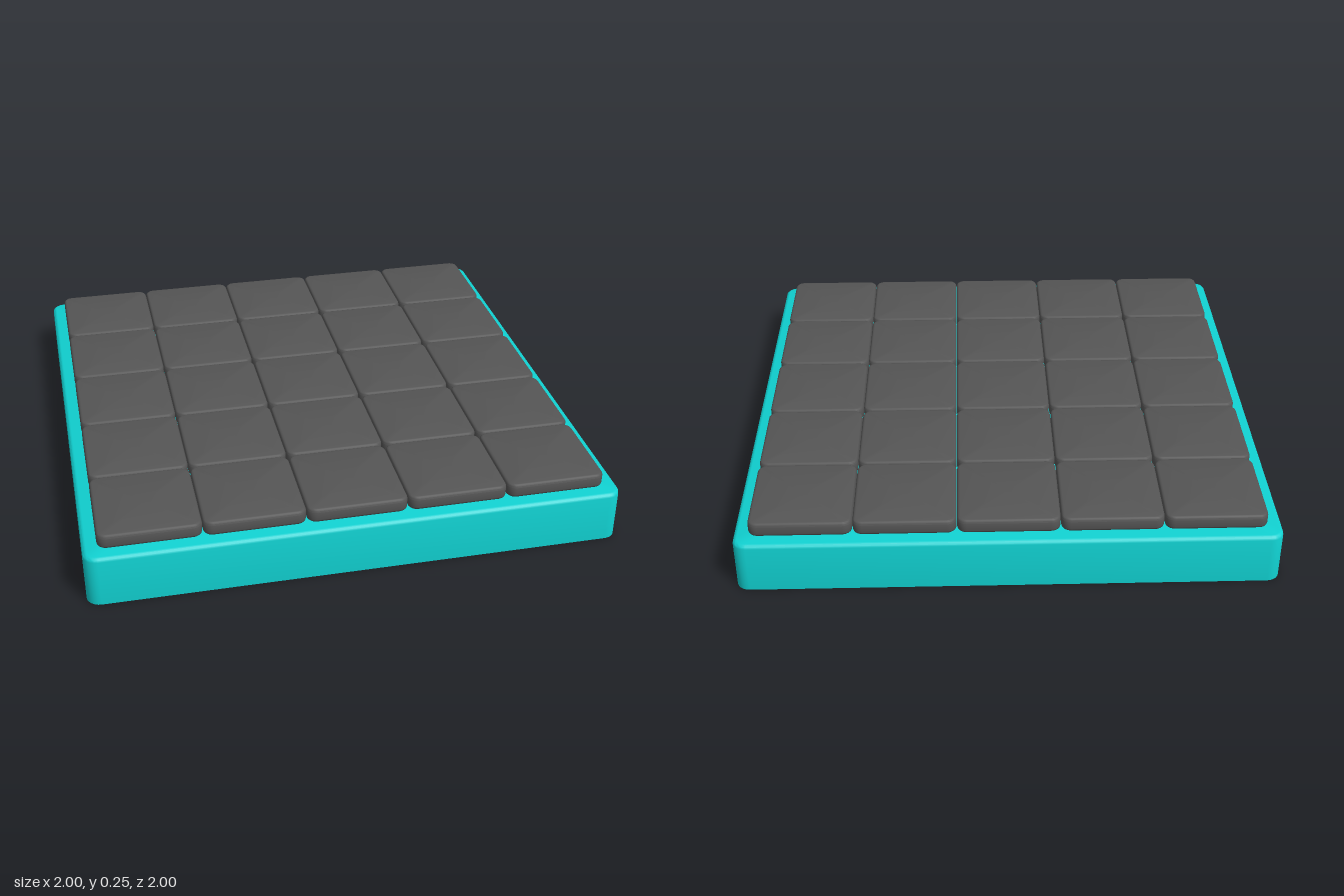
import * as THREE from 'three';
import { toCreasedNormals } from 'three/addons/utils/BufferGeometryUtils.js';

const STEPS = 6; // segments per rounded corner

// Rounded-square slab: one ring per profile point [inset, y], closed by flat caps.
function slab(size, radius, profile) {
  const pos = [], idx = [], n = 4 * (STEPS + 1), last = profile.length - 1;
  const c = size / 2 - radius;
  for (const [inset, y] of profile) {
    for (let q = 0; q < 4; q++) {
      const sx = q === 0 || q === 3 ? 1 : -1, sz = q < 2 ? 1 : -1;
      for (let s = 0; s <= STEPS; s++) {
        const a = (q + s / STEPS) * Math.PI / 2, r = radius - inset;
        pos.push(sx * c + r * Math.cos(a), y, sz * c + r * Math.sin(a));
      }
    }
  }
  const bottom = pos.length / 3, top = bottom + 1;
  pos.push(0, profile[0][1], 0, 0, profile[last][1], 0);
  for (let i = 0; i < n; i++) {
    const j = (i + 1) % n;
    for (let k = 0; k < last; k++) {
      const lo = k * n, hi = lo + n;
      idx.push(lo + i, hi + i, hi + j, lo + i, hi + j, lo + j);
    }
    idx.push(bottom, i, j, top, last * n + j, last * n + i);
  }
  const g = new THREE.BufferGeometry();
  g.setAttribute('position', new THREE.Float32BufferAttribute(pos, 3));
  g.setIndex(idx);
  return toCreasedNormals(g, 0.75);
}

// Quarter-round edge as profile points; dir = 1 for an upper edge, -1 for a lower one.
function roundEdge(r, y, dir) {
  const pts = [];
  for (let s = 0; s <= 3; s++) {
    const a = s / 3 * Math.PI / 2;
    pts.push([r * (1 - Math.cos(a)), y - dir * r * (1 - Math.sin(a))]);
  }
  return dir > 0 ? pts : pts.reverse();
}

export function createModel() {
  const model = new THREE.Group();
  model.name = 'tiledPlatform';
  const teal = new THREE.MeshStandardMaterial({ color: 0x10d0d0 });
  const dark = new THREE.MeshStandardMaterial({ color: 0x555555 });

  // Base: sharp underside, softened top rim
  const base = new THREE.Mesh(slab(2, 0.05, [[0, 0], ...roundEdge(0.015, 0.2, 1)]), teal);
  base.name = 'base';
  model.add(base);

  // 5 x 5 grid of softly rounded tiles
  const tiles = new THREE.Group();
  tiles.name = 'tiles';
  const pitch = 0.379;
  const tileGeometry = slab(0.377, 0.035,
    [...roundEdge(0.012, 0, -1), ...roundEdge(0.012, 0.055, 1)]);
  for (let row = -2; row <= 2; row++) {
    for (let col = -2; col <= 2; col++) {
      const tile = new THREE.Mesh(tileGeometry, dark);
      tile.name = `tile_${row + 3}_${col + 3}`;
      tile.position.set(col * pitch, 0.2, row * pitch);
      tiles.add(tile);
    }
  }
  model.add(tiles);
  return model;
}
